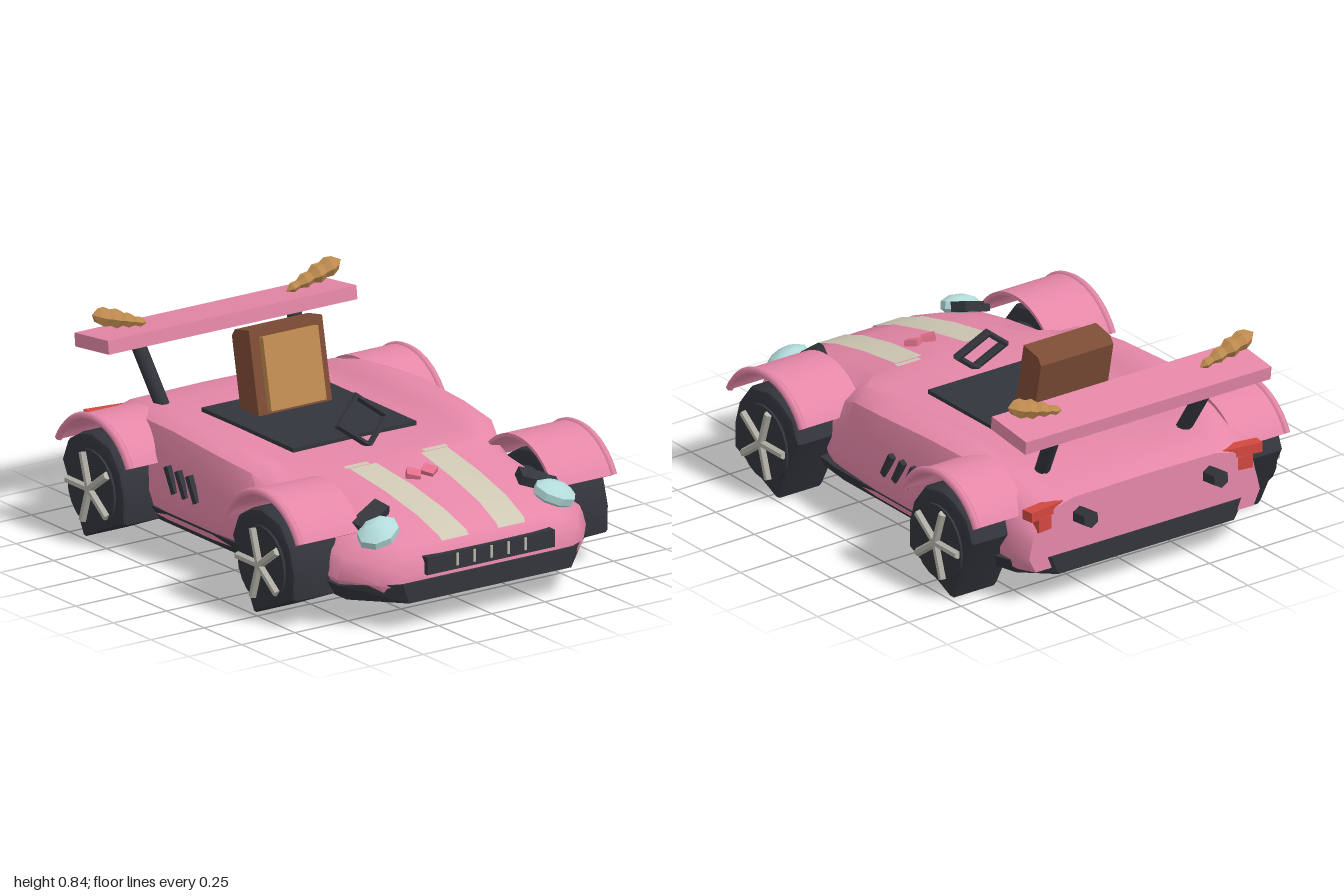
import * as THREE from 'three';
import { toCreasedNormals } from 'three/addons/utils/BufferGeometryUtils.js';

const paint = (name, color, opts = {}) => {
  const m = new THREE.MeshStandardMaterial({ color, ...opts });
  m.name = name;
  return m;
};

export function createModel() {
  const model = new THREE.Group();
  model.name = 'openRacer';
  const pink = paint('pink', 0xe587a8);
  const dark = paint('charcoal', 0x33353c);
  const cream = paint('cream', 0xcfc8b4, { side: THREE.DoubleSide });
  const glass = paint('paleBlue', 0xb4dcdc);
  const brown = paint('brown', 0x7d4c35);
  const tan = paint('tan', 0xc08c50);
  const red = paint('red', 0xd2483f);
  const silver = paint('silver', 0xb6b4aa);
  const rose = paint('rose', 0xe26f8c);

  // Helpers: bake a placement, add one mesh, or add a mirrored pair
  const place = (geo, pos = [0, 0, 0], rot = [0, 0, 0]) => {
    const q = new THREE.Quaternion().setFromEuler(new THREE.Euler(...rot));
    return geo.applyMatrix4(new THREE.Matrix4().compose(
      new THREE.Vector3(...pos), q, new THREE.Vector3(1, 1, 1)));
  };
  const add = (name, geo, mat) => {
    const mesh = new THREE.Mesh(geo, mat);
    mesh.name = name;
    model.add(mesh);
  };
  const mirror = (geo) => {
    const g = geo.clone().scale(-1, 1, 1);
    const idx = g.index ? Array.from(g.index.array) : Array.from({ length: g.attributes.position.count }, (_, i) => i);
    return g.setIndex(idx.reverse());
  };
  const pair = (name, geo, mat) => {
    add(name + 'Left', geo, mat);
    add(name + 'Right', mirror(geo), mat);
  };
  const box = (w, h, d, pos, rot) => place(new THREE.BoxGeometry(w, h, d), pos, rot);
  const rod = (a, b, r, sides = 8) => {
    const p = new THREE.Vector3(...a), d = new THREE.Vector3(...b).sub(p);
    const g = new THREE.CylinderGeometry(r, r, d.length(), sides);
    g.applyQuaternion(new THREE.Quaternion().setFromUnitVectors(new THREE.Vector3(0, 1, 0), d.clone().normalize()));
    p.addScaledVector(d, 0.5);
    return toCreasedNormals(g.translate(p.x, p.y, p.z), 0.9);
  };
  // Extrude a (z, y) outline across x, ending at the outer x
  const across = (shape, width, outerX, opts = {}) => new THREE.ExtrudeGeometry(shape,
    { depth: width, bevelEnabled: false, curveSegments: 18, ...opts }).rotateY(-Math.PI / 2).translate(outerX, 0, 0);

  // Body shell: [z, half width, shoulder top, shoulder inner x, deck height, tumblehome]
  const sections = [
    [0.975, 0.40, 0.27, 0.25, 0.285, 0.06],
    [0.93, 0.47, 0.32, 0.30, 0.335, 0.08],
    [0.80, 0.575, 0.36, 0.34, 0.385, 0.10],
    [0.60, 0.57, 0.405, 0.34, 0.43, 0.10],
    [0.38, 0.56, 0.43, 0.36, 0.462, 0.08],
    [0.30, 0.59, 0.44, 0.46, 0.465, 0.06],
    [0.20, 0.605, 0.495, 0.44, 0.466, 0.04],
    [0.00, 0.62, 0.515, 0.42, 0.468, 0.04],
    [-0.30, 0.62, 0.535, 0.40, 0.47, 0.04],
    [-0.55, 0.60, 0.525, 0.40, 0.468, 0.04],
    [-0.72, 0.585, 0.485, 0.40, 0.46, 0.05],
    [-0.85, 0.575, 0.43, 0.40, 0.445, 0.06],
    [-0.92, 0.54, 0.40, 0.38, 0.42, 0.08],
  ];
  const verts = [], faces = [], n = 18;
  sections.forEach(([z, w, s, xi, deck, inset]) => {
    const y = (f) => 0.15 + f * (s - 0.15);
    const half = [[0, 0.15], [w - 0.02, 0.15], [w + 0.01, y(0.25)], [w - 0.005, y(0.5)], [w - inset * 0.2, y(0.65)],
      [w - inset, y(0.92)], [(w - inset + xi) / 2, s], [xi, (s + deck) / 2], [xi - 0.04, deck], [0, deck + 0.004]];
    const ring = half.concat(half.slice(1, 9).reverse().map(([x, v]) => [-x, v]));
    ring.forEach(([x, v]) => verts.push(x, v, z));
  });
  for (let i = 0; i < sections.length - 1; i++) {
    for (let j = 0; j < n; j++) {
      const a = i * n + j, b = i * n + (j + 1) % n;
      faces.push(a, a + n, b, b, a + n, b + n);
    }
  }
  const last = (sections.length - 1) * n;
  for (let j = 1; j < n - 1; j++) faces.push(0, j, j + 1, last, last + j + 1, last + j);
  const shell = new THREE.BufferGeometry();
  shell.setAttribute('position', new THREE.Float32BufferAttribute(verts, 3));
  shell.setIndex(faces);
  add('bodyShell', toCreasedNormals(shell, 0.75), pink);

  // Floor pan with splitter and sills, tucked in underneath
  const plan = [[0.41, 0.99], [0.59, 0.81], [0.59, 0.45], [0.615, 0.25], [0.615, -0.7], [0.58, -0.82], [0.45, -0.93]];
  const outline = plan.concat(plan.slice().reverse().map(([x, z]) => [-x, z]));
  const pan = new THREE.ExtrudeGeometry(new THREE.Shape(outline.map(([x, z]) => new THREE.Vector2(x, -z))),
    { depth: 0.065, bevelEnabled: false }).rotateX(-Math.PI / 2).translate(0, 0.12, 0);
  const pp = pan.attributes.position;
  for (let i = 0; i < pp.count; i++) {
    if (pp.getY(i) < 0.15) pp.setX(i, pp.getX(i) * 0.93);
    else if (Math.abs(pp.getZ(i)) > 0.9) pp.setY(i, 0.2);
  }
  pan.computeVertexNormals();
  add('floorPan', pan, dark);

  // Grille with light bars
  add('grille', box(0.6, 0.07, 0.06, [0, 0.255, 0.965]), dark);
  for (let i = -2; i <= 2; i++) add('grilleBar', box(0.01, 0.05, 0.012, [i * 0.08, 0.26, 0.995]), silver);

  // Hood stripes lying on the deck
  const ribbon = (rows) => {
    const g = new THREE.BufferGeometry(), p = [], f = [];
    rows.forEach(([x0, x1, y, z], i) => {
      p.push(x0, y, z, x1, y, z);
      if (i) f.push(2 * i - 2, 2 * i - 1, 2 * i, 2 * i - 1, 2 * i + 1, 2 * i);
    });
    g.setAttribute('position', new THREE.Float32BufferAttribute(p, 3));
    g.setIndex(f);
    g.computeVertexNormals();
    return g;
  };
  pair('hoodStripe', ribbon([[0.07, 0.195, 0.327, 0.945], [0.07, 0.2, 0.344, 0.93], [0.08, 0.21, 0.394, 0.8],
    [0.09, 0.22, 0.439, 0.6], [0.105, 0.23, 0.471, 0.38]]), cream);
  pair('stripeEnd', ribbon([[0.13, 0.24, 0.471, 0.375], [0.13, 0.24, 0.473, 0.35]]), cream);

  // Small bow on the hood
  pair('hoodBow', box(0.055, 0.025, 0.055, [0.036, 0.452, 0.53], [0.25, 0.6, 0.1]), rose);

  // Headlights and their dark brows
  const lamp = new THREE.SphereGeometry(1, 8, 5).scale(0.095, 0.048, 0.075);
  pair('headlight', toCreasedNormals(place(lamp, [0.415, 0.37, 0.83], [0.25, -0.2, -0.3]), 0.6), glass);
  pair('headlightBrow', box(0.16, 0.04, 0.07, [0.395, 0.405, 0.745], [0.3, -0.35, -0.25]), dark);

  // Cockpit
  add('cockpitFloor', box(0.58, 0.03, 0.61, [0, 0.47, -0.215]), dark);
  const wheelRim = new THREE.TorusGeometry(0.107, 0.018, 6, 4).scale(1.05, 0.92, 1);
  add('steeringWheel', toCreasedNormals(place(wheelRim, [0, 0.555, 0.14], [-0.45, 0, 0]), 0.5), dark);
  add('steeringColumn', rod([0, 0.46, 0.17], [0, 0.48, 0.165], 0.015), dark);
  const lean = [-0.2, 0, 0];
  const backShape = new THREE.Shape([[0.06, -0.18], [0.06, 0.175], [-0.035, 0.175], [-0.06, 0.15], [-0.06, -0.18]]
    .map(([z, y]) => new THREE.Vector2(z, y)));
  add('seatBack', place(across(backShape, 0.345, 0.1725), [0, 0.63, -0.395], lean), brown);
  add('seatPad', box(0.26, 0.29, 0.03, [0, 0.642, -0.323], lean), tan);

  // Rear wing, struts and pastry-shaped ornaments
  add('rearWing', box(1.17, 0.055, 0.225, [0, 0.715, -0.833], [-0.12, 0, 0]), pink);
  pair('wingStrut', rod([0.335, 0.43, -0.7], [0.37, 0.7, -0.85], 0.03), dark);
  const radii = [0, 0.02, 0.017, 0.03, 0.025, 0.04, 0.033, 0.04, 0.03, 0];
  const horn = new THREE.LatheGeometry(radii.map((r, i) => new THREE.Vector2(r, i * 0.03 - 0.135)), 6);
  pair('wingOrnament', toCreasedNormals(place(horn, [0.457, 0.792, -0.83], [0, 0, -1.27]), 0.35), tan);

  // Exhausts and tail lights
  pair('exhaust', rod([0.31, 0.335, -0.88], [0.31, 0.347, -0.995], 0.037, 6), dark);
  pair('tailLightBar', box(0.17, 0.04, 0.05, [0.47, 0.395, -0.9], [0, 0.15, 0]), red);
  pair('tailLightLower', box(0.07, 0.055, 0.05, [0.48, 0.345, -0.9], [0, 0.15, 0]), red);

  // Slanted side vents
  for (let i = 0; i < 3; i++) {
    pair('sideVent', box(0.04, 0.11, 0.026, [0.615, 0.33, -0.105 - i * 0.072], [-0.5, 0, 0]), dark);
  }

  // Wheels and arches, front and rear
  const tread = [[-0.07, -0.214], [-0.214, 0.064], [-0.175, 0.155], [-0.09, 0.205], [-0.016, 0.222],
    [0.107, 0.195], [0.175, 0.11], [0.205, 0.01], [0.203, -0.096]].map(([z, y]) => new THREE.Vector2(z, y));
  const arch = new THREE.Shape();
  arch.absarc(0, 0, 0.271, 0.47, Math.PI - 0.47, false);
  arch.absarc(0, 0, 0.257, Math.PI - 0.47, 0.47, true);
  [['front', 0.53, 0.45], ['rear', -0.6, 0.5]].forEach(([end, z, innerX]) => {
    const tyre = across(new THREE.Shape(tread), 0.19, 0.725,
      { bevelEnabled: true, bevelSize: 0.025, bevelOffset: -0.025, bevelThickness: 0.02, bevelSegments: 2 });
    pair(end + 'Tyre', toCreasedNormals(tyre.translate(0, 0.222, z), 0.75), dark);
    pair(end + 'Rim', rod([0.49, 0.225, z], [0.755, 0.225, z], 0.155, 20), dark);
    for (let k = 0; k < 5; k++) {
      const a = k * Math.PI * 0.4;
      const c = -Math.cos(a), s = Math.sin(a);
      for (const x of [0.76, 0.49]) {
        pair(end + 'Spoke', rod([x, 0.225, z], [x, 0.225 + s * 0.145, z + c * 0.145], 0.017, 6), silver);
      }
    }
    const fender = across(arch, 0.735 - innerX, 0.735).translate(0, 0.244, z);
    pair(end + 'Fender', toCreasedNormals(fender, 0.5), pink);
    const lip = new THREE.TorusGeometry(0.264, 0.016, 6, 18, Math.PI - 0.94).rotateZ(0.47).rotateY(-Math.PI / 2);
    pair(end + 'FenderLip', lip.translate(0.738, 0.244, z), pink);
  });

  return model;
}
